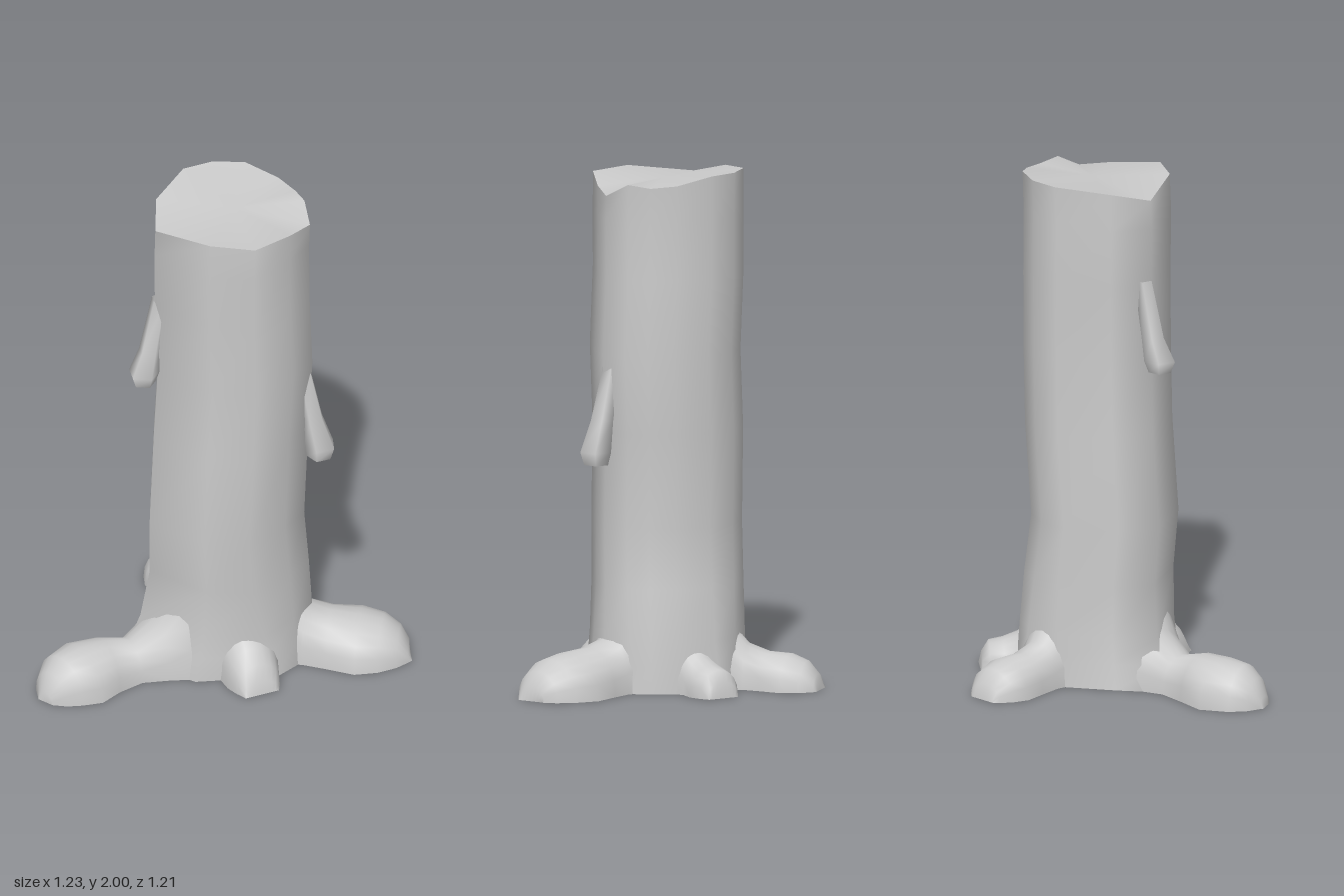
import * as THREE from 'three';

const material = new THREE.MeshStandardMaterial({ color: 0xcccccc, side: THREE.DoubleSide });

function makeMesh(name, positions, index) {
  const g = new THREE.BufferGeometry();
  g.setAttribute('position', new THREE.Float32BufferAttribute(positions.flat(), 3));
  g.setIndex(index);
  g.computeVertexNormals();
  const mesh = new THREE.Mesh(g, material);
  mesh.name = name;
  return mesh;
}

// Skin a list of rings (each a list of [x, y, z])
function loft(name, rings, closed) {
  const n = rings[0].length, index = [];
  for (let r = 0; r < rings.length - 1; r++) {
    for (let i = 0; i < (closed ? n : n - 1); i++) {
      const a = r * n + i, b = r * n + (i + 1) % n;
      index.push(a, a + n, b, b, a + n, b + n);
    }
  }
  return makeMesh(name, rings.flat(), index);
}

// Fan of triangles from a centre point to a ring
function cap(name, ring, centre, up) {
  const n = ring.length, index = [];
  for (let i = 0; i < n; i++) {
    const j = (i + 1) % n;
    index.push(n, up ? j : i, up ? i : j);
  }
  return makeMesh(name, [...ring, centre], index);
}

// Trunk outline [x, z, rim height], and the wider outline at the ground
const OUTLINE = [
  [-0.1, -0.18, 1.94], [0.03, -0.28, 1.98], [0.24, -0.315, 2.0], [0.35, -0.26, 2.0],
  [0.425, -0.16, 2.0], [0.455, -0.02, 1.97], [0.435, 0.08, 1.96], [0.39, 0.16, 1.97],
  [0.33, 0.235, 1.92], [0.2, 0.245, 1.94], [0, 0.23, 1.965], [-0.09, 0.08, 1.97],
];
const GROUND = [
  [-0.19, -0.27], [0.0, -0.305], [0.22, -0.33], [0.39, -0.26], [0.44, -0.19], [0.47, -0.03],
  [0.46, 0.08], [0.43, 0.16], [0.34, 0.25], [0.2, 0.28], [0.08, 0.27], [-0.14, 0.05],
];
// Trunk levels: height, shift in x, shift in z, blend to the ground outline
const LEVELS = [
  [0, 0, 0, 1], [0.1, 0, 0, 0.75], [0.2, 0, 0, 0.45], [0.4, -0.01, 0, 0.12],
  [0.63, -0.035, 0, 0], [1.0, -0.01, 0, 0], [1.3, 0, 0.012, 0], [1.6, -0.003, 0, 0],
  [1.83, -0.005, 0, 0],
];

function buildTrunk() {
  const group = new THREE.Group();
  group.name = 'trunk';
  const rings = LEVELS.map(([y, dx, dz, k]) => OUTLINE.map(([x, z], i) => [
    THREE.MathUtils.lerp(x, GROUND[i][0], k) + dx, y,
    THREE.MathUtils.lerp(z, GROUND[i][1], k) + dz,
  ]));
  const rim = OUTLINE.map(([x, z, y]) => [x, y, z]);
  rings.push(rim);
  group.add(loft('bark', rings, true), cap('cutTop', rim, [0.19, 1.965, -0.02], true));
  return group;
}

// Root: arched sections along a path of [x, z, half width, height]
function buildRoot(name, path) {
  const sides = 10;
  const rings = path.map(([x, z, w, h], k) => {
    const p = path[Math.max(k - 1, 0)], q = path[Math.min(k + 1, path.length - 1)];
    const len = Math.hypot(q[0] - p[0], q[1] - p[1]);
    const nx = -(q[1] - p[1]) / len, nz = (q[0] - p[0]) / len;
    return Array.from({ length: sides + 1 }, (_, i) => {
      const t = Math.PI * i / sides, c = Math.cos(t) * w;
      return [x + nx * c, h * Math.pow(Math.max(Math.sin(t), 0), 0.85), z + nz * c];
    });
  });
  return loft(name, rings, false);
}

const ROOTS = {
  leftBackRoot: [
    [-0.06, -0.12, 0.17, 0.34], [-0.13, -0.155, 0.14, 0.21], [-0.23, -0.2, 0.105, 0.135],
    [-0.33, -0.245, 0.125, 0.165], [-0.43, -0.285, 0.158, 0.165], [-0.52, -0.305, 0.125, 0.155],
    [-0.575, -0.31, 0.085, 0.11], [-0.607, -0.315, 0.04, 0.04], [-0.612, -0.315, 0.03, 0],
  ],
  backRoot: [
    [0.28, -0.23, 0.13, 0.28], [0.31, -0.32, 0.1, 0.17], [0.345, -0.39, 0.112, 0.14],
    [0.39, -0.47, 0.13, 0.135], [0.42, -0.53, 0.108, 0.11], [0.437, -0.57, 0.075, 0.06],
    [0.443, -0.582, 0.06, 0],
  ],
  rightRoot: [
    [0.4, -0.1, 0.12, 0.22], [0.455, -0.12, 0.088, 0.14], [0.51, -0.145, 0.1, 0.115],
    [0.56, -0.165, 0.085, 0.105], [0.585, -0.175, 0.07, 0.06], [0.592, -0.178, 0.065, 0],
  ],
  frontRoot: [
    [0.29, 0.16, 0.14, 0.32], [0.325, 0.23, 0.132, 0.205], [0.37, 0.305, 0.15, 0.175],
    [0.43, 0.4, 0.178, 0.165], [0.475, 0.475, 0.152, 0.15], [0.51, 0.53, 0.11, 0.11],
    [0.53, 0.56, 0.07, 0.05], [0.535, 0.565, 0.055, 0],
  ],
  leftFrontRoot: [
    [0.06, 0.13, 0.13, 0.34], [0.02, 0.19, 0.115, 0.2], [-0.01, 0.23, 0.105, 0.16],
    [-0.03, 0.27, 0.09, 0.11], [-0.045, 0.295, 0.075, 0.05], [-0.05, 0.305, 0.07, 0],
  ],
};

// Branch stub: pentagon hanging down the bark, with rings of [x, y, z, radius]
function buildStub(name, stations, turn) {
  const group = new THREE.Group();
  group.name = name;
  const rings = stations.map(([x, y, z, r]) => Array.from({ length: 5 }, (_, i) => {
    const t = turn + i * Math.PI * 2 / 5;
    return [x + r * Math.cos(t), y, z + r * Math.sin(t)];
  }));
  const [x, y, z] = stations[0];
  group.add(loft('stubSide', rings, true), cap('stubEnd', rings[0], [x, y, z], false));
  return group;
}

export function createModel() {
  const model = new THREE.Group();
  model.name = 'treeTrunk';
  model.add(buildTrunk());
  for (const [name, path] of Object.entries(ROOTS)) model.add(buildRoot(name, path));
  model.add(
    buildStub('frontStub', [
      [0.34, 0.88, 0.275, 0.048], [0.342, 0.93, 0.277, 0.062],
      [0.328, 1.05, 0.25, 0.045], [0.315, 1.26, 0.21, 0.035],
    ], 0.2),
    buildStub('leftStub', [
      [-0.145, 1.265, -0.2, 0.045], [-0.145, 1.31, -0.2, 0.062],
      [-0.115, 1.4, -0.195, 0.045], [-0.07, 1.62, -0.18, 0.035],
    ], 0.7),
  );
  return model;
}
